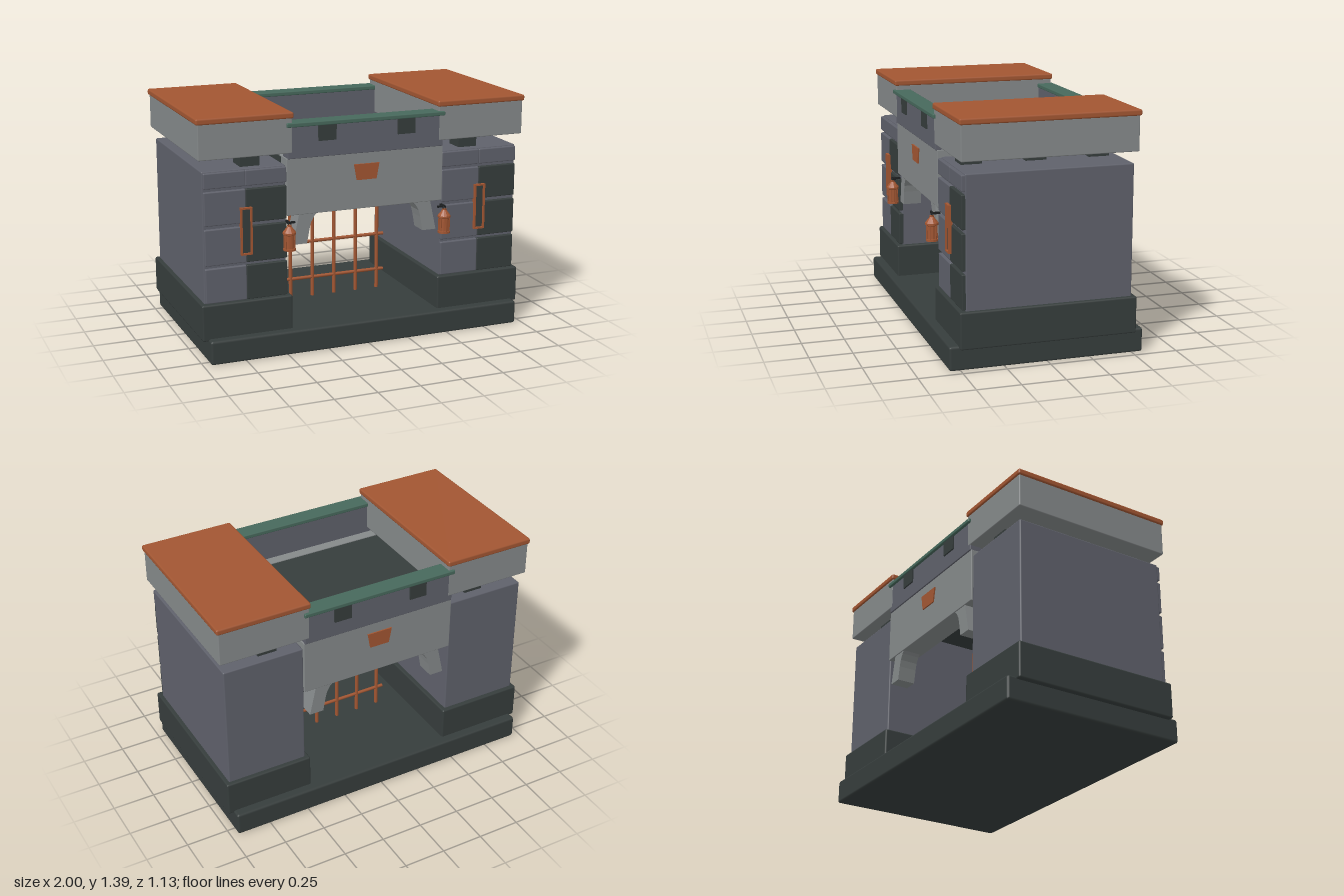
import * as THREE from 'three';
import { RoundedBoxGeometry } from 'three/addons/geometries/RoundedBoxGeometry.js';

const material = (name, color) => {
  const m = new THREE.MeshStandardMaterial({ color });
  m.name = name;
  return m;
};

export function createModel() {
  const model = new THREE.Group();
  model.name = 'gatehouse';
  const dark = material('dark stone', 0x363d3c);
  const slate = material('slate stone', 0x5f616b);
  const light = material('light stone', 0x85898a);
  const rust = material('rust copper', 0xa25632);
  const teal = material('verdigris', 0x47695c);
  const iron = material('black iron', 0x1c1f20);

  const add = (name, geometry, mat, x = 0, y = 0, z = 0, parent = model) => {
    const mesh = new THREE.Mesh(geometry, mat);
    mesh.name = name;
    mesh.position.set(x, y, z);
    parent.add(mesh);
    return mesh;
  };
  // Box given by its limits on each axis, with a small bevel
  const block = (name, mat, [x0, x1], [y0, y1], [z0, z1], bevel = 0.008, parent = model) => {
    const size = [x1 - x0, y1 - y0, z1 - z0];
    const geometry = bevel ? new RoundedBoxGeometry(...size, 1, bevel) : new THREE.BoxGeometry(...size);
    return add(name, geometry, mat, (x0 + x1) / 2, (y0 + y1) / 2, (z0 + z1) / 2, parent);
  };
  const span = (a, b, side) => (side > 0 ? [a, b] : [-b, -a]);
  // Outline extruded along z from z0 to z1
  const slab = (name, mat, points, z0, z1, hole) => {
    const shape = new THREE.Shape(points.map(p => new THREE.Vector2(...p)));
    if (hole) shape.holes.push(new THREE.Path(hole.map(p => new THREE.Vector2(...p))));
    const geometry = new THREE.ExtrudeGeometry(shape, { depth: z1 - z0, bevelEnabled: false });
    return add(name, geometry, mat, 0, 0, z0);
  };
  const rect = (x, y, w, h) => [[x - w, y - h], [x + w, y - h], [x + w, y + h], [x - w, y + h]];

  block('base', dark, [-0.957, 0.957], [0, 0.14], [-0.563, 0.563], 0.014);

  // Two towers
  for (const side of [-1, 1]) {
    block('plinth', dark, span(0.455, 0.988, side), [0.125, 0.337], [-0.51, 0.51], 0.01);
    block('towerBody', slate, span(0.48, 0.965, side), [0.33, 1.09], [-0.485, 0.473]);

    // Courses of facing stones, dark in one column
    const rows = [[0.34, 0.54], [0.557, 0.765], [0.785, 0.977], [0.995, 1.083]];
    rows.forEach((row, i) => {
      const inner = side < 0 && i < 3 ? dark : slate;
      const outer = side > 0 && i < 3 ? dark : slate;
      block('facingStone', inner, span(0.48, 0.72, side), row, [0.46, 0.493], 0.006);
      block('facingStone', outer, span(0.72, 0.96, side), row, [0.46, 0.493], 0.006);
    });

    // Slit window with a copper frame
    const wx = side * 0.722;
    slab('windowFrame', rust, rect(wx, 0.74, 0.034, 0.136), 0.485, 0.51, rect(wx, 0.74, 0.024, 0.126));
    block('slitWindow', dark, [wx - 0.025, wx + 0.025], [0.613, 0.867], [0.491, 0.498], 0);

    // Brackets carrying the overhanging head
    for (const z of [-0.37, 0, 0.37]) {
      block('bracket', dark, span(0.615, 0.73, side), [1.085, 1.165], [z - 0.06, z + 0.06], 0);
    }
    block('towerHead', light, span(0.447, 0.99, side), [1.158, 1.36], [-0.503, 0.503], 0.006);
    block('towerRoof', rust, span(0.44, 1, side), [1.355, 1.39], [-0.512, 0.512], 0.01);
  }

  // Deck over the passage
  block('deck', dark, [-0.485, 0.485], [1.03, 1.122], [-0.4, 0.4], 0);

  // Front and back of the gateway
  for (const face of [-1, 1]) {
    const depth = (a, b) => span(a, b, face);
    block('lintel', light, [-0.48, 0.48], [0.8, 1.128], depth(0.36, 0.495), 0.004);
    block('parapet', slate, [-0.475, 0.475], [1.125, 1.312], depth(0.42, 0.502), 0.004);
    block('parapetCap', teal, [-0.482, 0.482], [1.305, 1.33], depth(0.412, 0.518), 0.006);
    slab('keystone', rust, [[-0.06, 0.97], [0.06, 0.97], [0.077, 1.062], [-0.077, 1.062]], ...depth(0.48, 0.503));
    for (const side of [-1, 1]) {
      block('parapetSquare', dark, span(0.188, 0.295, side), [1.217, 1.305], depth(0.49, 0.511), 0);
      const outline = [[0.445, 0.628], [0.405, 0.81], [0.29, 0.81], [0.315, 0.785], [0.335, 0.75],
        [0.345, 0.71], [0.36, 0.628]].map(([x, y]) => [side * x, y]);
      slab('corbel', light, outline, ...depth(0.38, 0.49));
    }
  }

  // Portcullis
  for (let i = -2; i <= 2; i++) {
    add('portcullisBar', new THREE.CylinderGeometry(0.011, 0.011, 0.77, 10), rust, i * 0.1415, 0.515, 0);
  }
  for (const y of [0.258, 0.485, 0.71]) {
    const rail = add('portcullisRail', new THREE.CylinderGeometry(0.01, 0.01, 0.65, 10), rust, 0, y, 0);
    rail.rotation.z = Math.PI / 2;
  }

  // Hanging lanterns
  for (const side of [-1, 1]) {
    const lantern = new THREE.Group();
    lantern.name = 'lantern';
    lantern.position.set(side * 0.48, 0, 0.53);
    model.add(lantern);
    const profile = [[0, 0.612], [0.036, 0.612], [0.036, 0.624], [0.028, 0.624], [0.028, 0.7],
      [0.038, 0.706], [0.038, 0.717], [0.012, 0.75], [0.012, 0.758], [0, 0.758]];
    const bodyGeometry = new THREE.LatheGeometry(profile.map(p => new THREE.Vector2(...p)), 12).toNonIndexed();
    bodyGeometry.computeVertexNormals();
    add('lanternBody', bodyGeometry, rust, 0, 0, 0, lantern);
    for (let i = 0; i < 6; i++) {
      const a = (i / 6) * Math.PI * 2;
      add('lanternPost', new THREE.CylinderGeometry(0.004, 0.004, 0.09, 6), rust,
        0.03 * Math.sin(a), 0.663, 0.03 * Math.cos(a), lantern);
    }
    block('lanternArm', iron, [-0.006, 0.006], [0.764, 0.776], [-0.05, 0.005], 0, lantern);
    block('lanternCrossbar', iron, [-0.012, 0.036].map(v => v - (side > 0 ? 0.03 : 0)).sort((a, b) => a - b),
      [0.765, 0.775], [-0.012, 0], 0, lantern);
    add('lanternRing', new THREE.TorusGeometry(0.009, 0.003, 6, 12), iron, 0, 0.764, 0, lantern);
  }
  return model;
}
